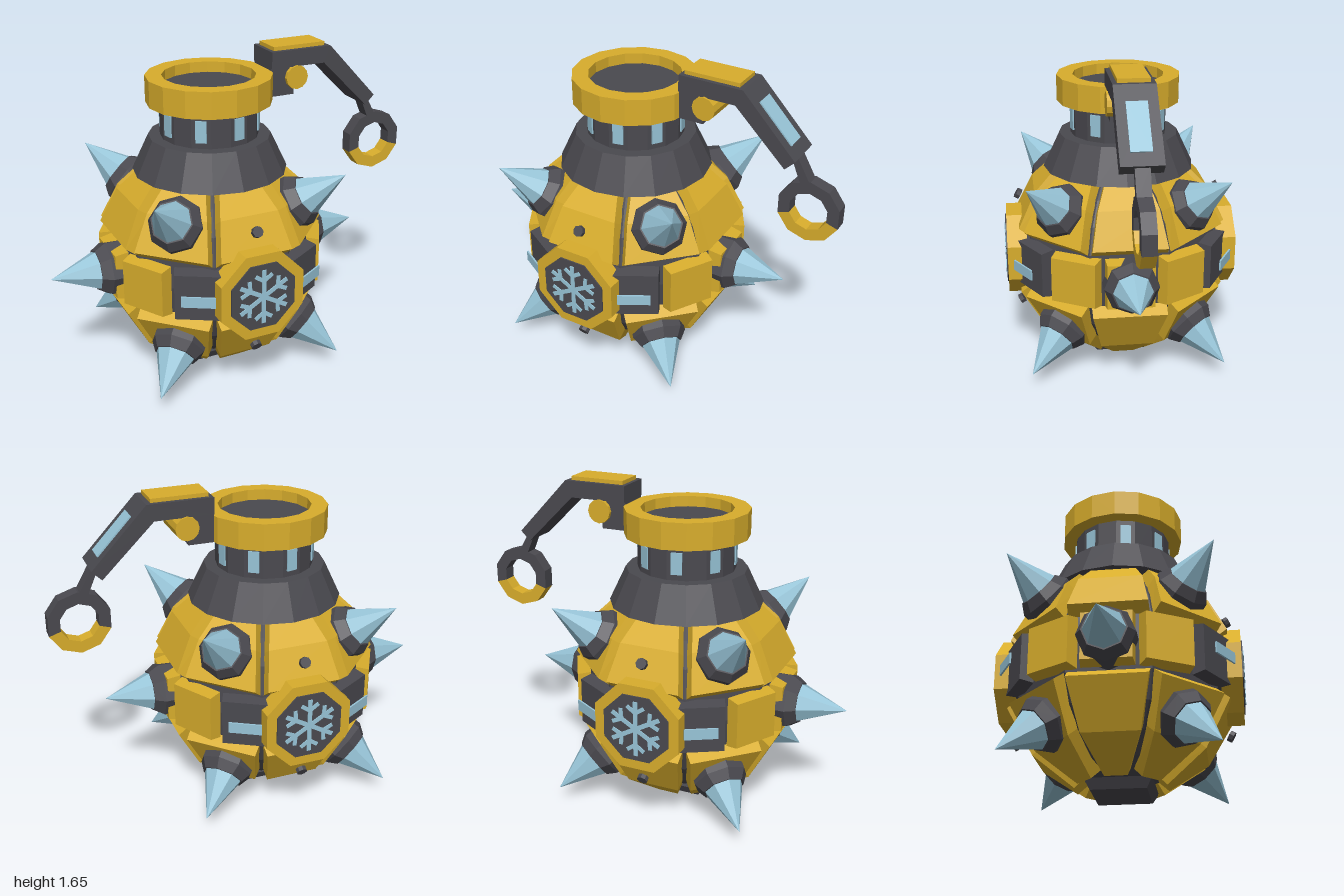
import * as THREE from 'three';

const gold = new THREE.MeshStandardMaterial({ color: 0xd8ad2c });
gold.name = 'gold';
const dark = new THREE.MeshStandardMaterial({ color: 0x4a494f });
dark.name = 'dark grey';
const ice = new THREE.MeshStandardMaterial({ color: 0x98c5d8 });
ice.name = 'ice blue';

const rad = THREE.MathUtils.degToRad;

// Adds a mesh with one normal per face
function add(parent, name, geometry, material, x = 0, y = 0, z = 0) {
  const g = geometry.index ? geometry.toNonIndexed() : geometry;
  g.computeVertexNormals();
  const mesh = new THREE.Mesh(g, material);
  mesh.name = name;
  mesh.position.set(x, y, z);
  parent.add(mesh);
  return mesh;
}

const box = (w, h, d) => new THREE.BoxGeometry(w, h, d);

// Upright frustum between two heights
function drum(rTop, rBottom, y0, y1, sides) {
  return new THREE.CylinderGeometry(rTop, rBottom, y1 - y0, sides).translate(0, (y0 + y1) / 2, 0);
}

// Extrusion of an xy outline, centred on z = 0
function slab(points, depth) {
  const shape = new THREE.Shape(points.map(([x, y]) => new THREE.Vector2(x, y)));
  return new THREE.ExtrudeGeometry(shape, { depth, bevelEnabled: false }).translate(0, 0, -depth / 2);
}

// Direction from azimuth (0 = front) and elevation in degrees
function direction(az, el) {
  const a = rad(az), e = rad(el);
  return new THREE.Vector3(Math.cos(e) * Math.sin(a), Math.sin(e), Math.cos(e) * Math.cos(a));
}

// Bevelled armour plate over a patch of the sphere; els run from low to high
function plateGeometry(az, half, els, radius) {
  const last = els.length - 1, inset = 2.6;
  const rows = els.map((el, i) => {
    const outEl = el + (i === 0 ? inset : i === last ? -inset : 0);
    const c = Math.cos(rad(el)), wide = half - 0.9 / c, narrow = half - 3 / c;
    return [
      direction(az - wide, el).multiplyScalar(radius - 0.06),
      direction(az - narrow, outEl).multiplyScalar(radius),
      direction(az + narrow, outEl).multiplyScalar(radius),
      direction(az + wide, el).multiplyScalar(radius - 0.06),
    ];
  });
  const p = [];
  const quad = (a, b, c, d) => [a, b, c, a, c, d].forEach((v) => p.push(v.x, v.y, v.z));
  for (let i = 0; i < last; i++) {
    for (let j = 0; j < 3; j++) quad(rows[i][j], rows[i][j + 1], rows[i + 1][j + 1], rows[i + 1][j]);
  }
  const [a, b] = [rows[0], rows[last]];
  quad(a[0], a[3], a[2], a[1]);
  quad(b[1], b[2], b[3], b[0]);
  const g = new THREE.BufferGeometry();
  g.setAttribute('position', new THREE.Float32BufferAttribute(p, 3));
  return g;
}

function createSpike(dir) {
  const spike = new THREE.Group();
  spike.name = 'spike';
  add(spike, 'spikeMount', drum(0.14, 0.14, 0.48, 0.585, 8), dark);
  add(spike, 'spikeMountBevel', drum(0.108, 0.14, 0.585, 0.635, 8), dark);
  add(spike, 'spikePoint', new THREE.ConeGeometry(0.105, 0.245, 8).translate(0, 0.7475, 0), ice);
  spike.quaternion.setFromUnitVectors(new THREE.Vector3(0, 1, 0), dir);
  return spike;
}

// Octagonal badge with a snowflake, facing +z
function createBadge() {
  const badge = new THREE.Group();
  badge.name = 'badge';
  const octagon = (r, z0, z1) => drum(r, r, z0, z1, 8).rotateY(Math.PI / 8).rotateX(Math.PI / 2);
  add(badge, 'badgeFrame', octagon(0.239, 0.5, 0.603), gold);
  add(badge, 'badgeFace', octagon(0.184, 0.59, 0.61), dark);
  for (let i = 0; i < 6; i++) {
    const arm = new THREE.Group();
    arm.name = 'snowflakeArm';
    add(arm, 'stem', box(0.022, 0.143, 0.006), ice, 0, 0.0715, 0.612);
    for (const s of [-1, 1]) {
      add(arm, 'branch', box(0.02, 0.055, 0.006), ice, s * 0.022, 0.1, 0.612).rotation.z = -s * rad(55);
    }
    arm.rotation.z = i * Math.PI / 3;
    badge.add(arm);
  }
  return badge;
}

function createBody() {
  const body = new THREE.Group();
  body.name = 'body';
  add(body, 'core', new THREE.SphereGeometry(0.54, 8, 12).rotateY(Math.PI / 8), dark);
  // Upper and lower rows of eight plates
  for (let i = 0; i < 8; i++) {
    add(body, 'upperPlate', plateGeometry(i * 45, 22.5, [15, 37, 60], 0.6), gold);
    add(body, 'lowerPlate', plateGeometry(i * 45, 22.5, [-70, -43, -15], 0.6), gold);
  }
  // Belt of twelve plates, dark ones beside the badges
  for (let i = 0; i < 12; i++) {
    const besideBadge = [1, 5, 7, 11].includes(i);
    add(body, 'beltPlate', plateGeometry(i * 30, 15, [-14, 14], 0.595), besideBadge ? dark : gold);
    if (besideBadge) {
      const light = add(body, 'beltLight', box(0.165, 0.055, 0.009), ice);
      light.position.copy(direction(i * 30, 0).multiplyScalar(0.61));
      light.rotation.y = rad(i * 30);
    }
  }
  // Spikes at the sides and the eight corners
  for (const x of [-1, 1]) {
    body.add(createSpike(new THREE.Vector3(x, 0, 0)));
    for (const y of [-1, 1]) for (const z of [-1, 1]) {
      body.add(createSpike(new THREE.Vector3(x, y, z).normalize()));
    }
  }
  // Badges and studs at front and back
  for (const az of [0, 180]) {
    const badge = createBadge();
    badge.rotation.y = rad(az);
    body.add(badge);
    for (const el of [-30, 30]) {
      const dir = direction(az, el);
      const stud = add(body, 'stud', drum(0.028, 0.028, 0.607, 0.63, 8), dark);
      stud.quaternion.setFromUnitVectors(new THREE.Vector3(0, 1, 0), dir);
    }
  }
  body.position.y = 0.59;
  return body;
}

function createNeck() {
  const neck = new THREE.Group();
  neck.name = 'neck';
  add(neck, 'collar', drum(0.31, 0.395, 1.05, 1.23, 16), dark);
  add(neck, 'neckTube', drum(0.25, 0.25, 1.2, 1.42, 16), dark);
  for (let i = 0; i < 8; i++) {
    const az = 11.25 + i * 45;
    const pane = add(neck, 'neckWindow', box(0.055, 0.11, 0.009), ice);
    pane.position.copy(direction(az, 0).multiplyScalar(0.248)).setY(1.315);
    pane.rotation.y = rad(az);
  }
  const rim = [[0.235, 1.4], [0.318, 1.4], [0.318, 1.535], [0.235, 1.535], [0.235, 1.4]];
  add(neck, 'rim', new THREE.LatheGeometry(rim.map(([x, y]) => new THREE.Vector2(x, y)), 16), gold);
  add(neck, 'rimFloor', drum(0.24, 0.24, 1.39, 1.48, 16), dark);
  return neck;
}

function createLever() {
  const lever = new THREE.Group();
  lever.name = 'lever';
  add(lever, 'leverBracket', box(0.13, 0.15, 0.18), dark, 0.235, 1.475, 0);
  add(lever, 'leverArm', slab([[0.17, 1.63], [0.17, 1.545], [0.47, 1.545], [0.735, 1.285],
    [0.785, 1.335], [0.505, 1.63]], 0.2), dark);
  add(lever, 'leverTopPlate', box(0.29, 0.02, 0.155), gold, 0.335, 1.64, 0);
  add(lever, 'leverLight', box(0.25, 0.009, 0.1), ice, 0.655, 1.476, 0).rotation.z = -Math.atan2(0.295, 0.28);
  add(lever, 'leverTail', slab([[0.74, 1.32], [0.8, 1.18], [0.85, 1.19], [0.77, 1.33]], 0.07), dark);
  add(lever, 'leverPin', drum(0.061, 0.061, -0.11, 0.11, 12).rotateX(Math.PI / 2), gold, 0.31, 1.49, 0);
  // Ten-sided pull ring, lower four sections gold
  for (let i = 0; i < 10; i++) {
    const a = rad(198 + i * 36), b = rad(234 + i * 36);
    const at = (r, t) => [r * Math.cos(t), r * Math.sin(t)];
    add(lever, 'pullRingSection', slab([at(0.1, a), at(0.162, a), at(0.162, b), at(0.1, b)], 0.07),
      i < 4 ? gold : dark, 0.846, 1.053, 0);
  }
  return lever;
}

export function createModel() {
  const model = new THREE.Group();
  model.name = 'spikedGrenade';
  const shell = new THREE.Group();
  shell.name = 'shell';
  shell.position.x = -0.13;
  shell.add(createBody(), createNeck());
  add(shell, 'foot', drum(0.23, 0.19, 0, 0.05, 4).rotateY(Math.PI / 4), dark);
  model.add(shell, createLever());
  return model;
}
